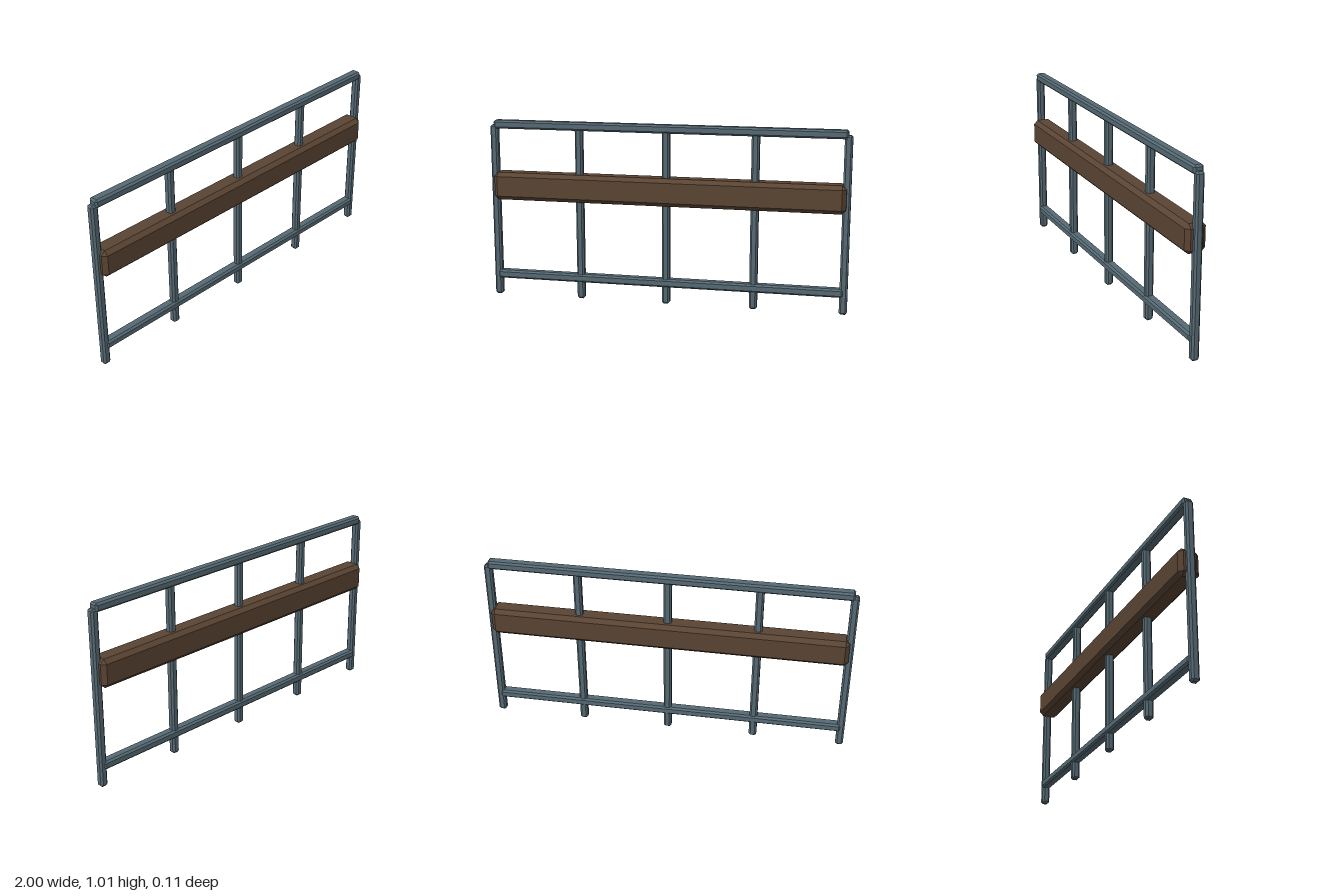
import * as THREE from 'three';
import { ConvexGeometry } from 'three/addons/geometries/ConvexGeometry.js';

const steel = new THREE.MeshStandardMaterial({ color: 0x566a74, flatShading: true });
const wood = new THREE.MeshStandardMaterial({ color: 0x5a4433, flatShading: true });

// Box with every edge and corner cut by a flat chamfer c
function chamferBox(w, h, d, c) {
  const x = w / 2, y = h / 2, z = d / 2;
  const points = [];
  for (const i of [-1, 1]) for (const j of [-1, 1]) for (const k of [-1, 1]) {
    points.push(
      new THREE.Vector3(i * x, j * (y - c), k * (z - c)),
      new THREE.Vector3(i * (x - c), j * y, k * (z - c)),
      new THREE.Vector3(i * (x - c), j * (y - c), k * z));
  }
  return new ConvexGeometry(points);
}

export function createModel() {
  const group = new THREE.Group();
  group.name = 'railing';
  const add = (name, geometry, material, x, y) => {
    const mesh = new THREE.Mesh(geometry, material);
    mesh.name = name;
    mesh.position.set(x, y, 0);
    group.add(mesh);
  };

  // Five evenly spaced upright posts
  const post = chamferBox(0.043, 0.978, 0.043, 0.01);
  for (let i = -2; i <= 2; i++) add('post', post, steel, i * 0.4893, 0.489);

  // Horizontal rails
  const rail = chamferBox(1.955, 0.047, 0.056, 0.01);
  add('topRail', rail, steel, 0, 0.982);
  add('bottomRail', rail, steel, 0, 0.12);

  // Wide wooden plank enclosing the posts
  add('plank', chamferBox(1.955, 0.155, 0.114, 0.022), wood, 0, 0.637);

  return group;
}
